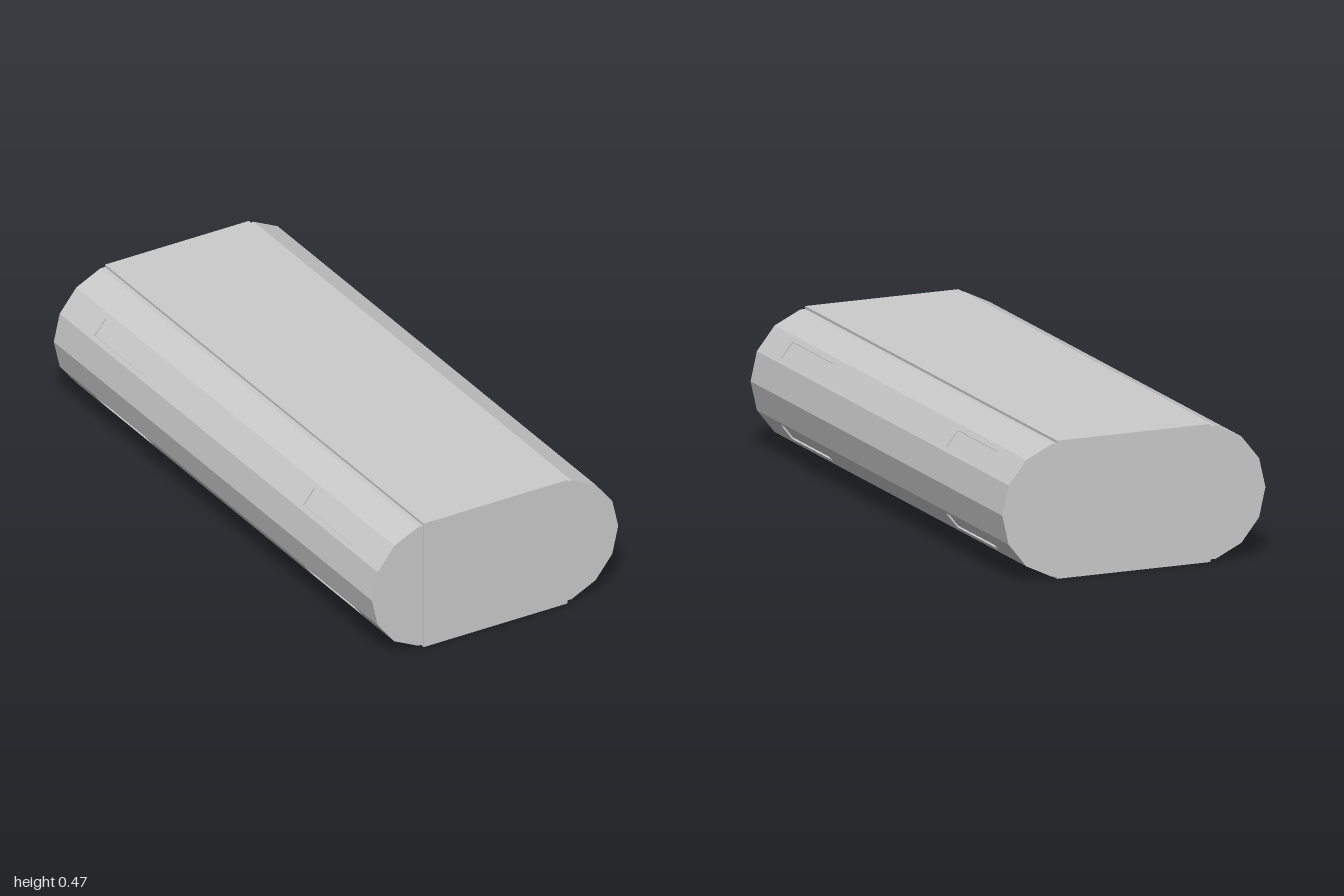
import * as THREE from 'three';

const MID_Y = 0.233;    // height of the centre line
const CORE_X = 0.276;   // half width of the middle slab
const RADIUS = 0.23;
const CENTRE_X = 0.243; // centre of the rounded sides
const STEP = Math.PI / 7; // 14-sided rounding
const RECESS_DEPTH = 0.006;

// Cross-section of one rounded side; the facets above and below can be notched.
function sideProfile(side, notched) {
  const corner = (k) => new THREE.Vector2(
    CENTRE_X + RADIUS * Math.cos(k * STEP), RADIUS * Math.sin(k * STEP));
  const inner = corner(3).y;
  const points = [new THREE.Vector2(CORE_X, -inner)];
  for (let k = -3; k <= 3; k++) {
    points.push(corner(k));
    if (notched && (k === -2 || k === 1)) {
      const a = corner(k), b = corner(k + 1);
      const mid = (k + 0.5) * STEP;
      const inward = new THREE.Vector2(-Math.cos(mid), -Math.sin(mid)).multiplyScalar(RECESS_DEPTH);
      const [t0, t1] = k === 1 ? [0.16, 0.8] : [0.2, 0.84];
      const p = a.clone().lerp(b, t0), q = a.clone().lerp(b, t1);
      points.push(p, p.clone().add(inward), q.clone().add(inward), q);
    }
  }
  points.push(new THREE.Vector2(CORE_X, inner));
  return new THREE.Shape(points.map((p) => new THREE.Vector2(p.x * side, p.y + MID_Y)));
}

export function createModel() {
  const model = new THREE.Group();
  model.name = 'flatRoundedBody';
  const material = new THREE.MeshStandardMaterial({ color: 0xcccccc, flatShading: true });

  // Middle slab, slightly proud of the sides at top, bottom and front
  const core = new THREE.Mesh(new THREE.BoxGeometry(CORE_X * 2, MID_Y * 2, 2), material);
  core.name = 'middleSlab';
  core.position.y = MID_Y;
  model.add(core);

  // Rounded sides: plain lengths alternate with lengths holding shallow recesses
  const breaks = [-1, -0.8, -0.48, 0.51, 0.83, 0.996];
  for (const side of [1, -1]) {
    const group = new THREE.Group();
    group.name = side > 0 ? 'leftRoundedSide' : 'rightRoundedSide';
    for (let i = 0; i < breaks.length - 1; i++) {
      const notched = i % 2 === 1;
      const geometry = new THREE.ExtrudeGeometry(sideProfile(side, notched), {
        depth: breaks[i + 1] - breaks[i], bevelEnabled: false,
      });
      const mesh = new THREE.Mesh(geometry, material);
      mesh.name = notched ? 'recessedLength' : 'plainLength';
      mesh.position.z = breaks[i];
      group.add(mesh);
    }
    model.add(group);
  }
  return model;
}
